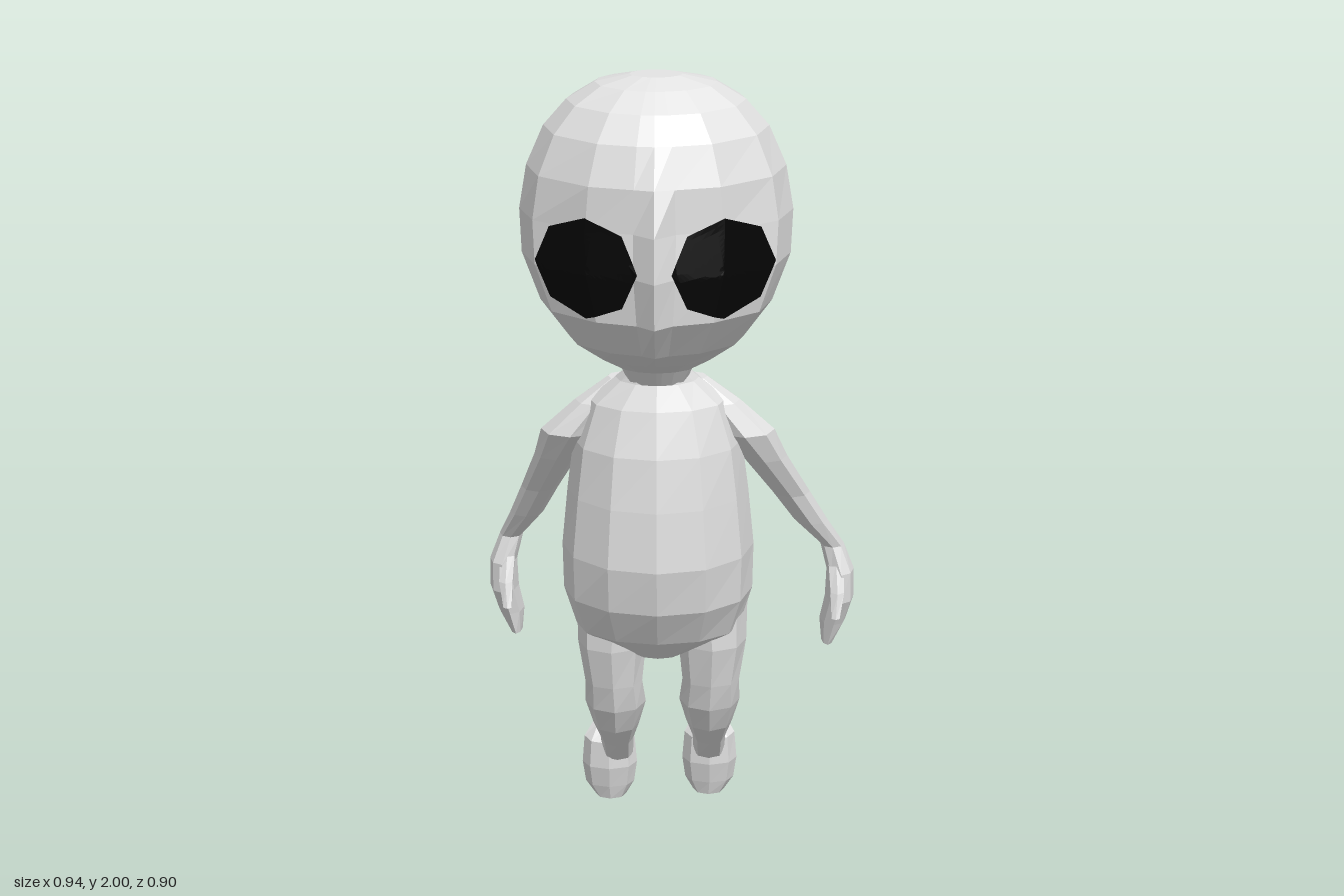
import * as THREE from 'three';

const skinMat = new THREE.MeshStandardMaterial({ color: 0xe4e4e4 });
skinMat.name = 'pale grey skin';
const eyeMat = new THREE.MeshStandardMaterial({ color: 0x050505 });
eyeMat.name = 'black eye';

// Face columns from the nose ridge towards the ear: width, round depth, pointed depth
const FACE = [[0, 1, 1], [0.15, 0.985, 0.84], [0.49, 0.87, 0.725], [0.88, 0.475, 0.39]];

// Station: [x, y, z, radius x, radius z, pointedness of the face, roundness of the back]
function ring([cx, y, cz, rx, rz, nose, back = 1], sides) {
  return Array.from({ length: sides }, (_, k) => {
    const a = (k / sides) * Math.PI * 2;
    let across = Math.sin(a), depth = Math.cos(a);
    if (nose !== undefined && depth > 0.01) {
      const [w, round, pointed] = FACE[Math.min(k, sides - k)];
      across = Math.sign(across) * w;
      depth = round + nose * (pointed - round);
    }
    if (depth < 0) depth = -Math.pow(-depth, back);
    return [cx + rx * across, y, cz + rz * depth];
  });
}

// Faceted skin over a list of rings, with optional end caps
function skin(rings, caps = true) {
  const pos = [];
  const tri = (a, b, c) => pos.push(...a, ...b, ...c);
  const n = rings[0].length;
  const middle = (r) => [0, 1, 2].map((i) => r.reduce((s, p) => s + p[i], 0) / n);
  const first = rings[0], last = rings[rings.length - 1];
  for (let k = 0; k < n; k++) {
    const m = (k + 1) % n;
    for (let i = 0; i < rings.length - 1; i++) {
      const up = rings[i], low = rings[i + 1];
      tri(low[k], low[m], up[m]);
      tri(low[k], up[m], up[k]);
    }
    if (caps) {
      tri(middle(first), first[k], first[m]);
      tri(middle(last), last[m], last[k]);
    }
  }
  const g = new THREE.BufferGeometry();
  g.setAttribute('position', new THREE.Float32BufferAttribute(pos, 3));
  g.computeVertexNormals();
  return g;
}

function part(name, stations, sides) {
  const mesh = new THREE.Mesh(skin(stations.map((s) => ring(s, sides))), skinMat);
  mesh.name = name;
  return mesh;
}

// Rows of [y, half width, front z, back z, pointedness], top to bottom
const body = (rows, back) => rows.map(([y, w, f, b, nose]) => {
  return [0, y, (f + b) / 2, w, (f - b) / 2, nose, back];
});

const HEAD = body([
  [2.0, 0.06, 0.18, 0.07, 0],
  [1.98, 0.14, 0.25, -0.03, 0],
  [1.94, 0.205, 0.32, -0.105, 0],
  [1.88, 0.258, 0.372, -0.16, 0],
  [1.79, 0.298, 0.413, -0.187, 0.25],
  [1.69, 0.315, 0.445, -0.203, 0.95],
  [1.59, 0.31, 0.455, -0.188, 1],
  [1.48, 0.268, 0.43, -0.143, 0.9],
  [1.39, 0.205, 0.335, -0.085, 0.6],
  [1.335, 0.14, 0.21, -0.01, 0.3],
  [1.29, 0.085, 0.105, -0.01, 0],
  [1.25, 0.07, 0.075, -0.02, 0],
], 1);

const TORSO = body([
  [1.29, 0.065, 0.07, -0.02],
  [1.25, 0.1, 0.075, -0.09],
  [1.19, 0.168, 0.098, -0.165],
  [1.08, 0.205, 0.127, -0.235],
  [0.95, 0.222, 0.14, -0.285],
  [0.8, 0.237, 0.145, -0.315],
  [0.68, 0.235, 0.115, -0.3],
  [0.58, 0.205, 0.05, -0.255],
  [0.51, 0.07, -0.03, -0.17],
], 0.75);

const ARM = [
  [0.09, 1.24, -0.05, 0.03, 0.035],
  [0.148, 1.18, -0.055, 0.052, 0.06],
  [0.211, 1.1, -0.07, 0.074, 0.075],
  [0.262, 1.02, -0.11, 0.056, 0.063],
  [0.332, 0.9, -0.19, 0.047, 0.053],
  [0.385, 0.81, -0.235, 0.042, 0.047],
  [0.443, 0.73, -0.28, 0.03, 0.039],
  [0.465, 0.66, -0.285, 0.035, 0.06],
  [0.465, 0.58, -0.3, 0.037, 0.07],
  [0.45, 0.51, -0.32, 0.034, 0.06],
  [0.437, 0.447, -0.325, 0.015, 0.043],
];

const THUMB = [
  [0.452, 0.69, -0.27, 0.022, 0.03],
  [0.455, 0.62, -0.225, 0.02, 0.032],
  [0.45, 0.56, -0.185, 0.012, 0.014],
];

const LEG = [
  [0.125, 0.68, -0.125, 0.1, 0.11],
  [0.136, 0.53, -0.12, 0.086, 0.092],
  [0.133, 0.42, -0.122, 0.072, 0.062],
  [0.13, 0.345, -0.167, 0.077, 0.084],
  [0.13, 0.27, -0.207, 0.06, 0.08],
  [0.13, 0.2, -0.265, 0.043, 0.067],
  [0.13, 0.13, -0.32, 0.04, 0.05],
];

const FOOT = [
  [0.13, 0.21, -0.36, 0.045, 0.025],
  [0.132, 0.175, -0.342, 0.066, 0.055],
  [0.132, 0.1, -0.346, 0.072, 0.054],
  [0.132, 0.04, -0.355, 0.064, 0.045],
  [0.13, 0, -0.359, 0.04, 0.035],
];

// Depth of the face at a point, for laying the eyes on it
function faceZ(x, y) {
  let i = 0;
  while (HEAD[i + 1][1] > y) i++;
  const t = (HEAD[i][1] - y) / (HEAD[i][1] - HEAD[i + 1][1]);
  const lower = ring(HEAD[i + 1], 16);
  const row = ring(HEAD[i], 16).map((p, k) => p.map((v, j) => v + (lower[k][j] - v) * t));
  let k = 0;
  while (k < 3 && row[k + 1][0] < x) k++;
  const u = (x - row[k][0]) / (row[k + 1][0] - row[k][0]);
  return row[k][2] + (row[k + 1][2] - row[k][2]) * u;
}

// Octagonal eye plate that follows the face
function eye(side) {
  const rings = [];
  for (let i = 10; i >= 0; i--) {
    rings.push(Array.from({ length: 32 }, (_, k) => {
      const a = (k / 32) * Math.PI * 2;
      const edge = Math.cos(Math.PI / 8) / Math.cos((a % (Math.PI / 4)) - Math.PI / 8);
      const r = (0.117 * edge * i) / 10;
      const x = side * 0.155 + r * Math.sin(a);
      const y = 1.603 + r * Math.cos(a);
      return [x, y, faceZ(Math.abs(x), y) + 0.007];
    }));
  }
  const mesh = new THREE.Mesh(skin(rings, false), eyeMat);
  mesh.name = side > 0 ? 'leftEye' : 'rightEye';
  return mesh;
}

export function createModel() {
  const model = new THREE.Group();
  model.name = 'alienFigure';
  const figure = new THREE.Group();
  figure.name = 'figure';
  figure.position.x = -0.03;
  model.add(figure);

  figure.add(part('head', HEAD, 16), part('torso', TORSO, 12));

  for (const side of [1, -1]) {
    const label = side > 0 ? 'left' : 'right';
    const mirror = (rows, dx = 0, dz = 0) => rows.map(([x, y, z, ...r]) => {
      return [side * (x + dx), y, z + dz, ...r];
    });
    // The right arm swings further back and closer in
    const swing = (rows) => side > 0 ? mirror(rows) : mirror(rows).map(([x, y, z, ...r]) => {
      const t = THREE.MathUtils.clamp((1.1 - y) / 0.37, 0, 1);
      return [x + 0.06 * t, y, z - 0.07 * t, ...r];
    });
    // The right leg stands closer in and hangs slightly further forward
    const dx = side > 0 ? 0 : -0.02;
    const dz = side > 0 ? 0 : 0.03;
    figure.add(
      eye(side),
      part(label + 'Arm', swing(ARM), 8),
      part(label + 'Thumb', swing(THUMB), 6),
      part(label + 'Leg', mirror(LEG, dx, dz / 2), 8),
      part(label + 'Foot', mirror(FOOT, 0, dz), 8),
    );
  }
  return model;
}
